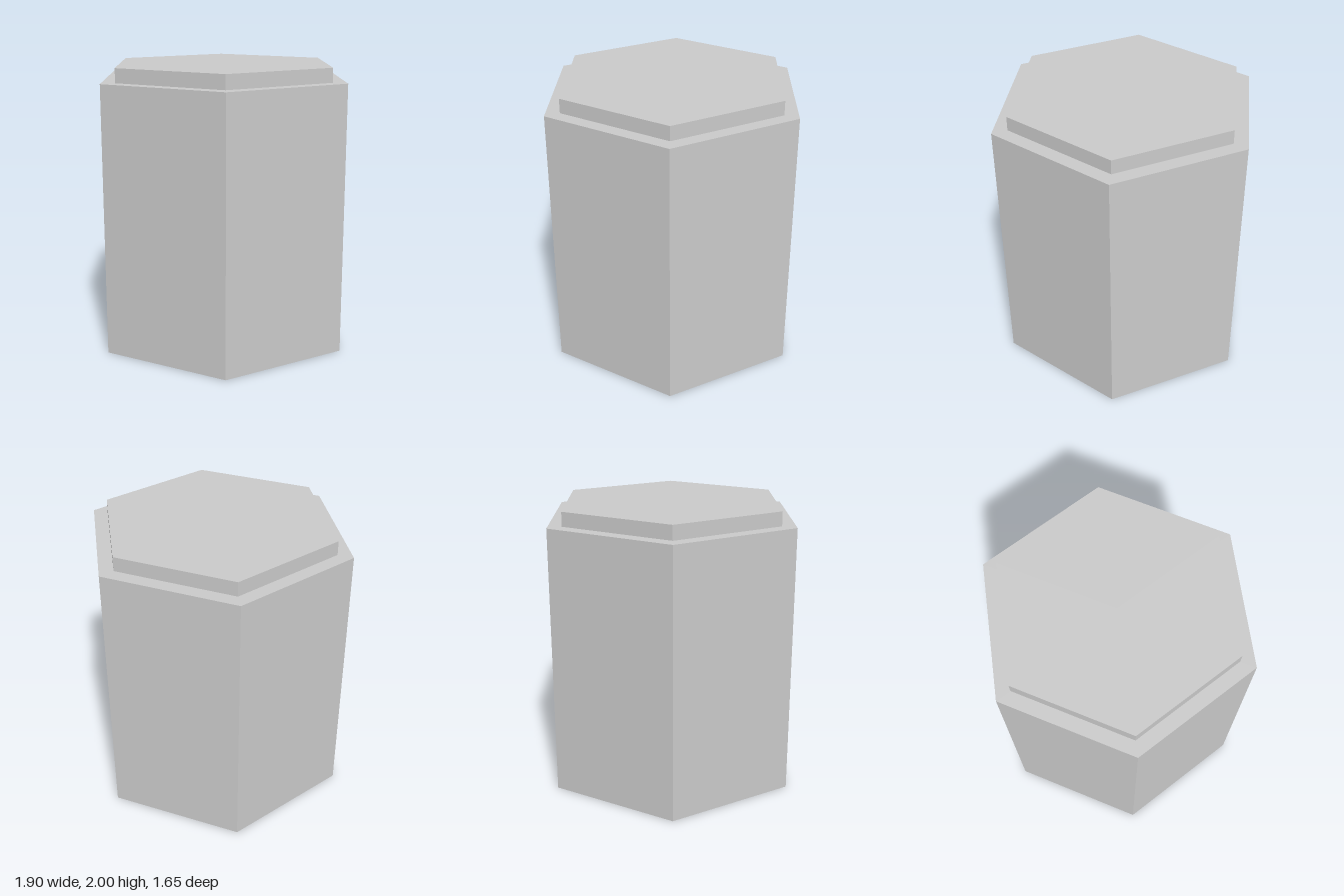
import * as THREE from 'three';

const SIDES = 6;
const BODY_R = 0.95, CAP_R = 0.84;   // corner radii, corners on the x axis
const BODY_H = 1.9, TOTAL_H = 2;

export function createModel() {
  const model = new THREE.Group();
  model.name = 'hexagonalColumn';
  const material = new THREE.MeshStandardMaterial({
    color: 0xcccccc, flatShading: true, side: THREE.DoubleSide,
  });

  const add = (name, geometry) => {
    const mesh = new THREE.Mesh(geometry, material);
    mesh.name = name;
    model.add(mesh);
  };

  // open six-sided wall between two heights
  const wall = (radius, y0, y1) =>
    new THREE.CylinderGeometry(radius, radius, y1 - y0, SIDES, 1, true, Math.PI / 6)
      .translate(0, (y0 + y1) / 2, 0);

  // flat geometry turned to face up at a given height
  const faceUp = (geometry, y) => geometry.rotateX(-Math.PI / 2).translate(0, y, 0);

  // hollow column, open at the bottom
  add('columnWall', wall(BODY_R, 0, BODY_H));
  add('columnLedge', faceUp(new THREE.RingGeometry(CAP_R, BODY_R, SIDES, 1), BODY_H));

  // raised cap, set in from the column edge
  add('capWall', wall(CAP_R, BODY_H, TOTAL_H));
  add('capTop', faceUp(new THREE.CircleGeometry(CAP_R, SIDES), TOTAL_H));

  return model;
}
